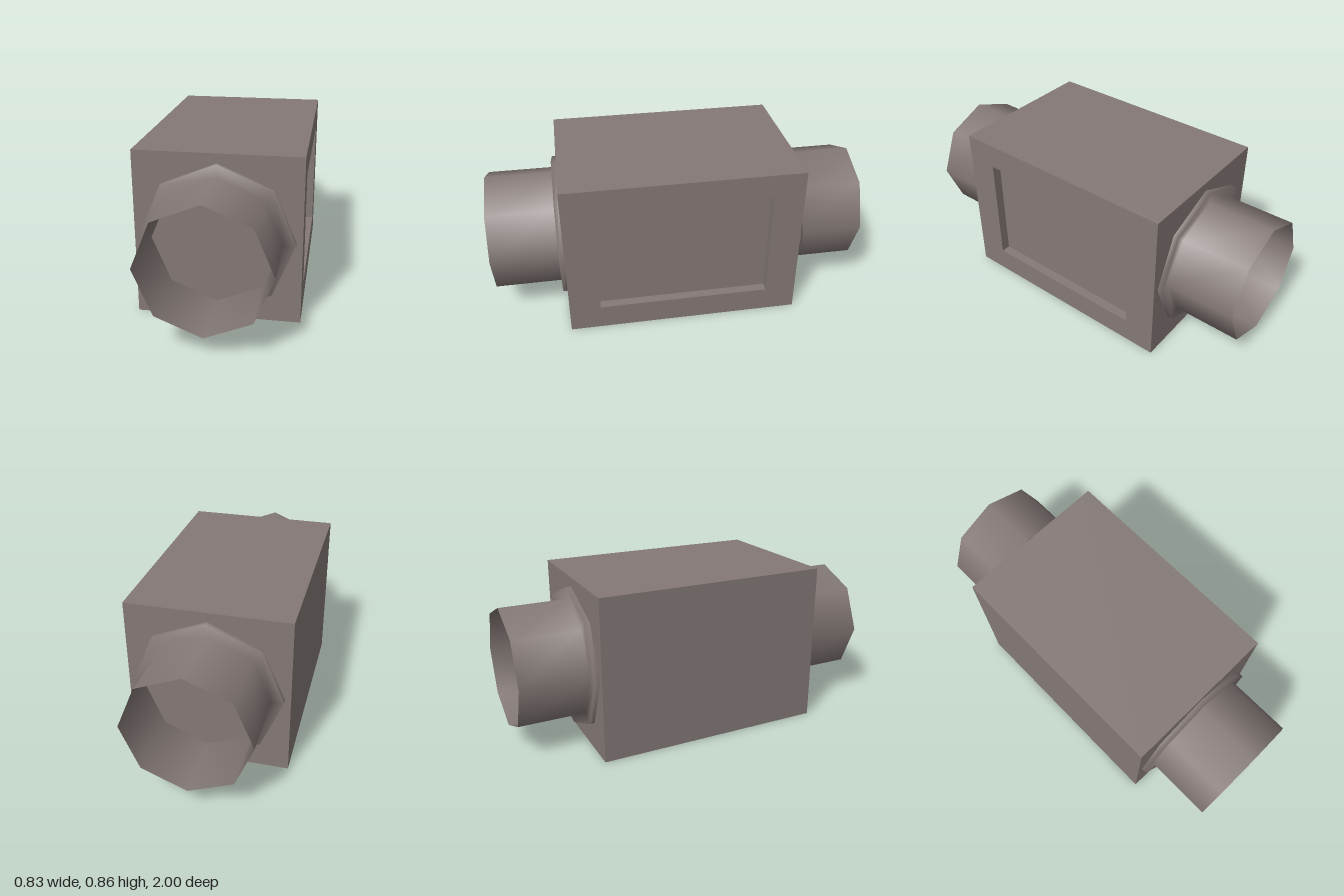
import * as THREE from 'three';

const WIDTH = 0.83, HEIGHT = 0.86, LENGTH = 1.24, RECESS = 0.05;
const AXIS_Y = 0.427;

export function createModel() {
  const group = new THREE.Group();
  const metal = new THREE.MeshStandardMaterial({ color: 0x847976 });
  const openMetal = new THREE.MeshStandardMaterial({ color: 0x847976, side: THREE.DoubleSide });
  openMetal.name = 'warmGreyPipe';
  metal.name = 'warmGrey';

  const add = (name, geometry, material, x, y, z) => {
    const mesh = new THREE.Mesh(geometry, material);
    mesh.name = name;
    mesh.position.set(x, y, z);
    group.add(mesh);
    return mesh;
  };

  // Housing block, its left face forming the floor of the recess
  add('housing', new THREE.BoxGeometry(WIDTH - RECESS, HEIGHT, LENGTH), metal, -RECESS / 2, HEIGHT / 2, 0);

  // Frame around the recessed panel on the left side
  const rectangle = (path, x0, y0, x1, y1) =>
    path.moveTo(x0, y0).lineTo(x1, y0).lineTo(x1, y1).lineTo(x0, y1).closePath();
  const outline = rectangle(new THREE.Shape(), -LENGTH / 2, 0, LENGTH / 2, HEIGHT);
  outline.holes.push(rectangle(new THREE.Path(), -0.456, 0.133, 0.456, 0.727));
  const frame = new THREE.ExtrudeGeometry(outline, { depth: RECESS, bevelEnabled: false });
  frame.rotateY(Math.PI / 2);
  add('panelFrame', frame, metal, WIDTH / 2 - RECESS, 0, 0);

  // Open eight-sided pipe with a collar, smoothly shaded, at each end
  const profile = [[0.385, 0.62], [0.385, 0.648], [0.322, 0.648], [0.322, 1]]
    .map(([r, z]) => new THREE.Vector2(r, z));
  const pipe = new THREE.LatheGeometry(profile, 8).rotateX(Math.PI / 2);
  add('frontPipe', pipe, openMetal, 0, AXIS_Y, 0);
  add('backPipe', pipe, openMetal, 0, AXIS_Y, 0).rotation.y = Math.PI;

  return group;
}
